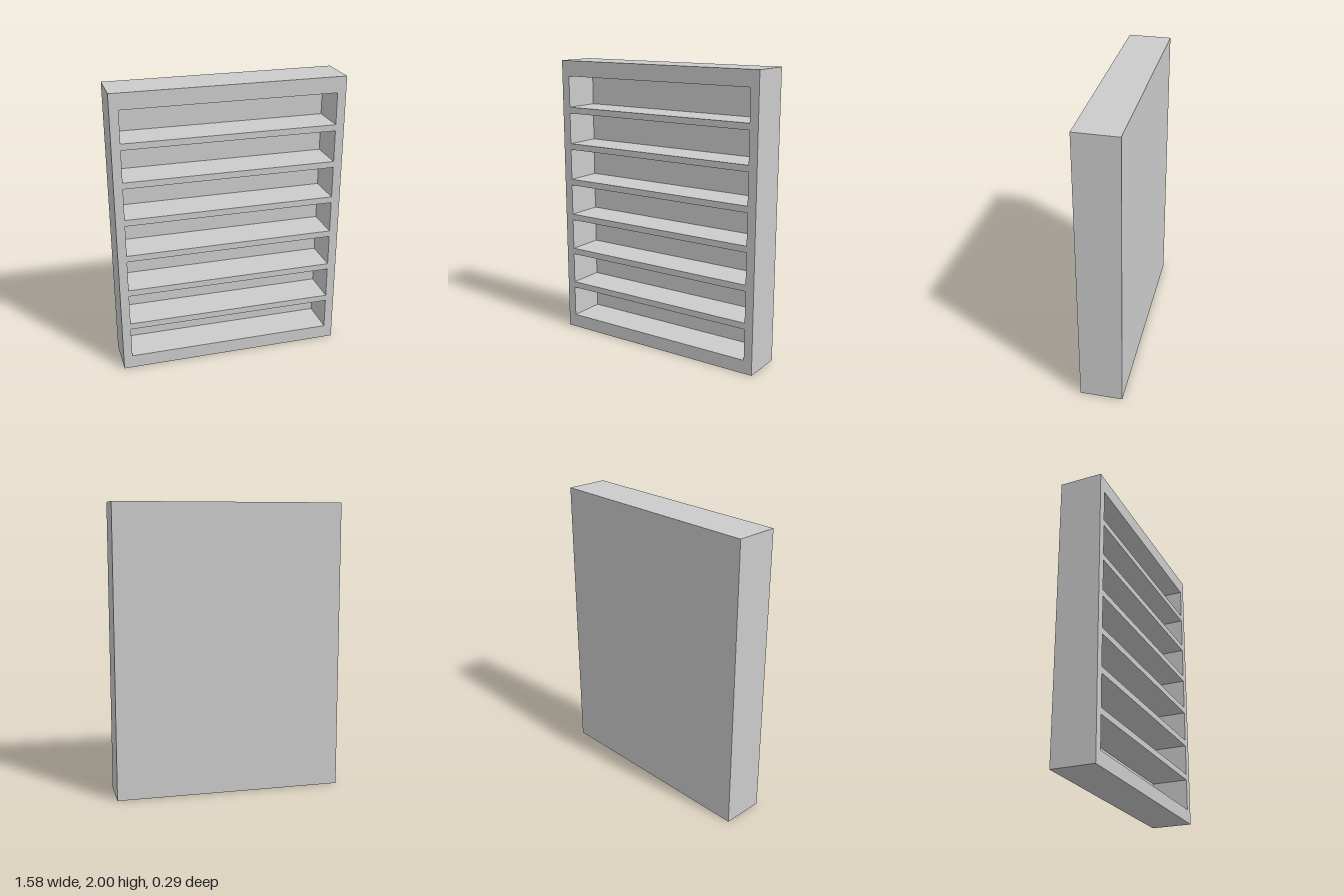
import * as THREE from 'three';

const WIDTH = 1.576, HEIGHT = 2, DEPTH = 0.294, BACK = 0.032;
const BAYS = 7, BAY_WIDTH = 1.455, BAY_HEIGHT = 0.219, FIRST_BAY = 0.095, PITCH = 0.2628;

// Rectangle centred on x = 0, rising from y
function rectangle(target, width, y, height) {
  const w = width / 2;
  target.moveTo(-w, y);
  target.lineTo(w, y);
  target.lineTo(w, y + height);
  target.lineTo(-w, y + height);
  target.closePath();
  return target;
}

export function createModel() {
  const group = new THREE.Group();
  group.name = 'shelfUnit';
  const material = new THREE.MeshStandardMaterial({ color: 0xcccccc });

  // Outer frame and shelves: one slab with an opening per bay
  const outline = rectangle(new THREE.Shape(), WIDTH, 0, HEIGHT);
  for (let i = 0; i < BAYS; i++) {
    outline.holes.push(rectangle(new THREE.Path(), BAY_WIDTH, FIRST_BAY + i * PITCH, BAY_HEIGHT));
  }
  const frame = new THREE.Mesh(
    new THREE.ExtrudeGeometry(outline, { depth: DEPTH - BACK, bevelEnabled: false }),
    material
  );
  frame.name = 'frameAndShelves';
  frame.position.z = -DEPTH / 2 + BACK;
  group.add(frame);

  // Back panel closing the bays
  const back = new THREE.Mesh(new THREE.BoxGeometry(WIDTH, HEIGHT, BACK), material);
  back.name = 'backPanel';
  back.position.set(0, HEIGHT / 2, -DEPTH / 2 + BACK / 2);
  group.add(back);

  return group;
}
